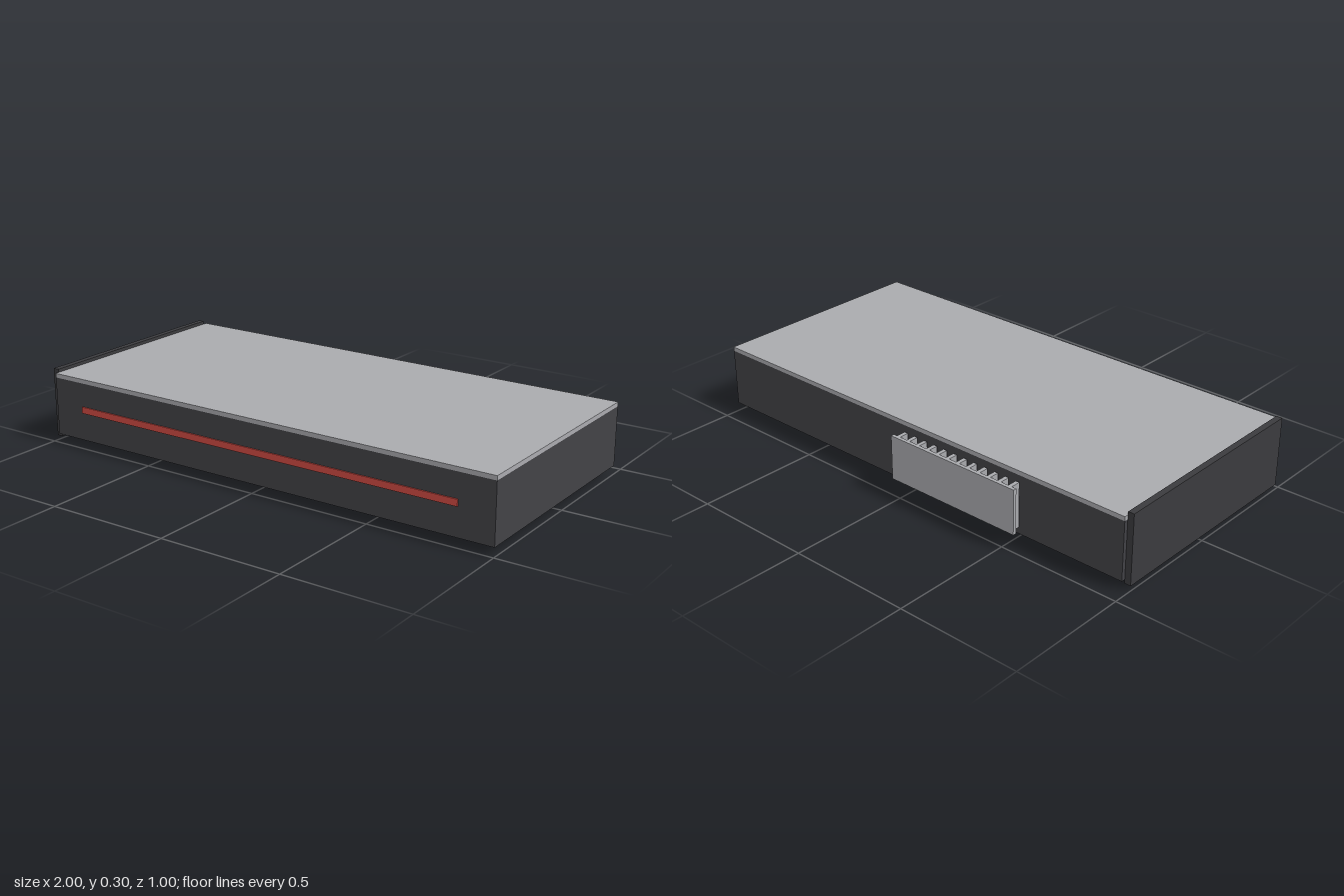
import * as THREE from 'three';

const paint = (name, color) => {
  const m = new THREE.MeshStandardMaterial({ color });
  m.name = name;
  return m;
};

export function createModel() {
  const model = new THREE.Group();
  const charcoal = paint('charcoal', 0x424246);
  const darkGrey = paint('dark grey', 0x3b3b3e);
  const silver = paint('silver', 0xa9aaae);
  const red = paint('red', 0xd04a42);
  const black = paint('fan black', 0x2b2c30);

  // Box given by its limits on each axis
  const box = (name, mat, [x0, x1], [y0, y1], [z0, z1], parent = model) => {
    const mesh = new THREE.Mesh(new THREE.BoxGeometry(x1 - x0, y1 - y0, z1 - z0), mat);
    mesh.position.set((x0 + x1) / 2, (y0 + y1) / 2, (z0 + z1) / 2);
    mesh.name = name;
    parent.add(mesh);
    return mesh;
  };

  // Housing, cover plate, end bracket and light strip
  box('housing', charcoal, [-0.975, 1], [0.035, 0.27], [-0.436, 0.495]);
  box('coverPlate', silver, [-0.975, 1], [0.27, 0.287], [-0.436, 0.495]);
  box('endBracket', darkGrey, [-1, -0.975], [0.02, 0.3], [-0.42, 0.48]);
  box('lightStrip', red, [-0.837, 0.858], [0.148, 0.174], [0.495, 0.5]);

  // Edge connector: a plate with upright fins behind it
  const connector = new THREE.Group();
  connector.name = 'connector';
  model.add(connector);
  box('connectorPlate', silver, [-0.553, 0.036], [0.07, 0.25], [-0.5, -0.486], connector);
  for (let i = 0; i < 12; i++) {
    const x = -0.525 + i * 0.0487;
    box('connectorFin', silver, [x - 0.008, x + 0.008], [0.07, 0.25], [-0.486, -0.447], connector);
  }

  // Round plate lying between two heights
  const disc = (name, mat, radius, y0, y1, parent) => {
    const mesh = new THREE.Mesh(new THREE.CylinderGeometry(radius, radius, y1 - y0, 48), mat);
    mesh.position.y = (y0 + y1) / 2;
    mesh.name = name;
    parent.add(mesh);
  };

  // Two fans on the underside
  for (const x of [-0.45, 0.475]) {
    const fan = new THREE.Group();
    fan.name = 'fan';
    fan.position.set(x, 0, 0.03);
    model.add(fan);

    // Raised rim
    const rimProfile = [[0.285, 0.036], [0.285, 0.024], [0.295, 0.019], [0.302, 0.02], [0.31, 0.028], [0.31, 0.036]];
    const rim = new THREE.Mesh(
      new THREE.LatheGeometry(rimProfile.map(([r, y]) => new THREE.Vector2(r, y)).reverse(), 48),
      black
    );
    rim.material.side = THREE.DoubleSide;
    rim.name = 'fanRim';
    fan.add(rim);

    disc('fanBase', black, 0.287, 0.016, 0.036, fan);
    disc('fanHub', black, 0.1, 0, 0.02, fan);

    // Blades spread around the hub, each set slightly askew
    for (let i = 0; i < 9; i++) {
      const spoke = new THREE.Group();
      spoke.rotation.y = (i / 9) * Math.PI * 2;
      fan.add(spoke);
      const blade = box('fanBlade', black, [0.085, 0.275], [0.009, 0.017], [-0.035, 0.035], spoke);
      blade.rotation.y = 0.25;
    }
  }
  return model;
}
